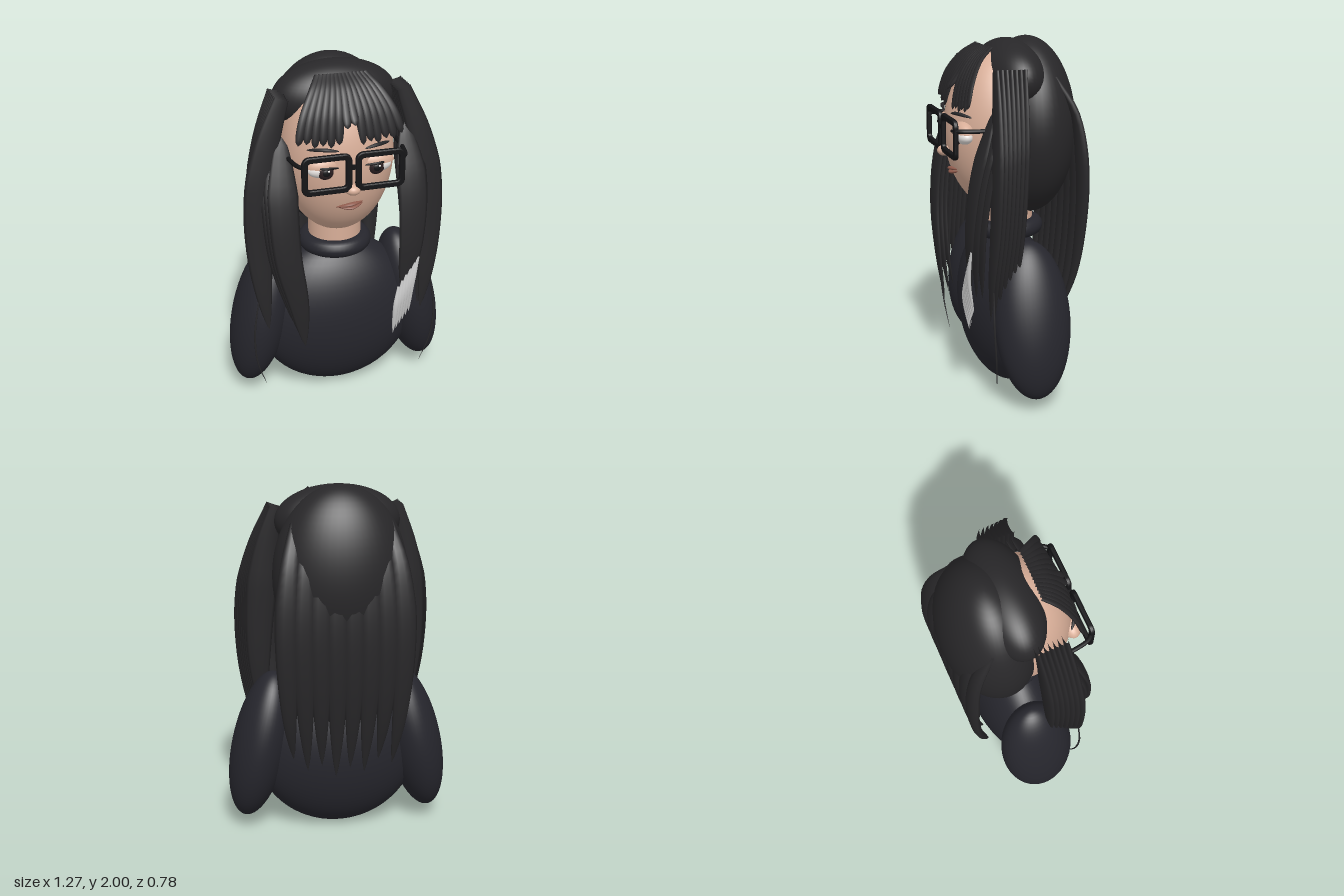
import * as THREE from 'three';

const mat = (color) => new THREE.MeshStandardMaterial({ color });
const HAIR = mat(0x282729), KNIT = mat(0x26262d), SKIN = mat(0xd8ae98), BLACK = mat(0x141416);
const WHITE = mat(0xe6e2df), IRIS = mat(0x2a1e20), LIP = mat(0x8f5a4c), SILVER = mat(0xcfcfd1);
const V = (a) => new THREE.Vector3(...a);

export function createModel() {
  const model = new THREE.Group();

  function add(name, geometry, material, pos = [0, 0, 0], parent = model) {
    const mesh = new THREE.Mesh(geometry, material);
    mesh.name = name;
    mesh.position.set(...pos);
    parent.add(mesh);
    return mesh;
  }
  function ellipsoid(name, pos, radii, material, parent) {
    const mesh = add(name, new THREE.SphereGeometry(1, 48, 32), material, pos, parent);
    mesh.scale.set(...radii);
    return mesh;
  }

  // Tapered lock: an elliptical section swept along a curve
  const taper = (t) => Math.min(1, 0.45 + 1.6 * t) * Math.pow(Math.max(0, 1 - Math.pow(t, 3)), 0.8);
  const pointed = (t) => Math.min(1, Math.sqrt(4 * t)) * Math.pow(Math.max(0, 1 - Math.pow(t, 3.5)), 0.8);
  const leaf = (t) => Math.sqrt(Math.sin(Math.PI * Math.min(1, Math.max(0, t))));
  function strand(name, pts, width, depth, material, parent, profile = taper, side = [1, 0, 0]) {
    const curve = new THREE.CatmullRomCurve3(pts.map(V)), segs = 24, sides = 10;
    const pos = [], idx = [];
    for (let i = 0; i <= segs; i++) {
      const t = i / segs, p = curve.getPointAt(t), T = curve.getTangentAt(t);
      const W = V(side).addScaledVector(T, -T.dot(V(side))).normalize();
      const N = T.clone().cross(W), k = profile(t);
      for (let j = 0; j < sides; j++) {
        const a = (j / sides) * Math.PI * 2;
        const q = p.clone().addScaledVector(W, Math.cos(a) * width * k).addScaledVector(N, Math.sin(a) * depth * k);
        pos.push(q.x, q.y, q.z);
        if (i < segs) {
          const b = i * sides + j, c = i * sides + (j + 1) % sides;
          idx.push(b, c, c + sides, b, c + sides, b + sides);
        }
      }
    }
    const g = new THREE.BufferGeometry();
    g.setAttribute('position', new THREE.Float32BufferAttribute(pos, 3));
    g.setIndex(idx);
    g.computeVertexNormals();
    return add(name, g, material, [0, 0, 0], parent);
  }
  const group = (name) => {
    const g = new THREE.Group();
    g.name = name;
    model.add(g);
    return g;
  };

  // Bust
  ellipsoid('torso', [0, 0.47, 0], [0.48, 0.468, 0.25], KNIT);
  for (const s of [-1, 1]) {
    ellipsoid('upperArm', [s * 0.45, 0.5, -0.01], [0.16, 0.44, 0.215], KNIT).rotation.z = s * 0.22;
  }
  add('collar', new THREE.TorusGeometry(0.16, 0.05, 16, 48), KNIT, [0, 0.93, -0.01]).rotation.x = Math.PI / 2;
  add('neck', new THREE.CylinderGeometry(0.15, 0.15, 0.3, 40), SKIN, [0, 1.03, -0.01]);

  // Head and features
  const face = group('face');
  ellipsoid('head', [0, 1.49, 0.03], [0.315, 0.465, 0.31], SKIN, face);
  ellipsoid('nose', [0, 1.385, 0.35], [0.042, 0.03, 0.04], SKIN, face);
  strand('upperLip', [[-0.078, 1.265, 0.29], [0, 1.282, 0.315], [0.08, 1.288, 0.29]], 0.01, 0.016, LIP, face, leaf, [0, 1, 0]);
  strand('lowerLip', [[-0.065, 1.264, 0.29], [0.005, 1.26, 0.312], [0.075, 1.278, 0.29]], 0.009, 0.016, LIP, face, leaf, [0, 1, 0]);
  for (const s of [-1, 1]) {
    ellipsoid('eyeball', [s * 0.145, 1.49, 0.28], [0.088, 0.045, 0.05], WHITE, face);
    ellipsoid('iris', [s * 0.14, 1.487, 0.315], [0.045, 0.042, 0.02], IRIS, face);
    ellipsoid('pupil', [s * 0.14, 1.487, 0.328], [0.023, 0.022, 0.01], BLACK, face);
    ellipsoid('eyeGlint', [s * 0.14 + 0.012, 1.498, 0.336], [0.006, 0.006, 0.004], WHITE, face);
    const lid = add('eyelid', new THREE.SphereGeometry(1, 32, 12, 0, Math.PI * 2, 0, Math.PI / 2), SKIN, [s * 0.145, 1.511, 0.283], face);
    lid.scale.set(0.102, 0.062, 0.058);
    strand('lashLine', [[s * 0.05, 1.506, 0.32], [s * 0.145, 1.518, 0.342], [s * 0.24, 1.515, 0.29]], 0.007, 0.007, BLACK, face, leaf, [0, 1, 0]);
    strand('eyebrow', [[s * 0.07, 1.604, 0.33], [s * 0.15, 1.614, 0.315], [s * 0.23, 1.602, 0.26]], 0.01, 0.012, HAIR, face, leaf, [0, 1, 0]);
  }

  // Glasses
  const glasses = group('glasses');
  const roundRect = (Type, w, h, r) => {
    const p = new Type(), x = w / 2, y = h / 2, q = Math.PI / 2;
    p.absarc(x - r, y - r, r, 0, q);
    p.absarc(-x + r, y - r, r, q, 2 * q);
    p.absarc(-x + r, -y + r, r, 2 * q, 3 * q);
    p.absarc(x - r, -y + r, r, 3 * q, 4 * q);
    p.closePath();
    return p;
  };
  const rim = roundRect(THREE.Shape, 0.26, 0.206, 0.035);
  rim.holes.push(roundRect(THREE.Path, 0.222, 0.168, 0.022));
  const rimGeometry = new THREE.ExtrudeGeometry(rim, {
    depth: 0.01, bevelThickness: 0.008, bevelSize: 0.007, bevelSegments: 3, curveSegments: 6,
  });
  for (const s of [-1, 1]) {
    add('rim', rimGeometry, BLACK, [s * 0.147, 1.492, 0.357], glasses);
    const arm = new THREE.CatmullRomCurve3([[0.27, 1.545, 0.362], [0.295, 1.545, 0.33], [0.315, 1.545, 0.24], [0.325, 1.545, 0.05]].map(([x, y, z]) => V([s * x, y, z])));
    add('temple', new THREE.TubeGeometry(arm, 20, 0.012, 10), BLACK, [0, 0, 0], glasses);
  }
  add('bridge', new THREE.BoxGeometry(0.05, 0.022, 0.02), BLACK, [0, 1.52, 0.362], glasses);

  // Hair masses
  const hair = group('hair');
  ellipsoid('backHair', [0, 1.5, -0.13], [0.375, 0.5, 0.26], HAIR, hair);
  ellipsoid('crownHair', [0, 1.79, -0.025], [0.35, 0.2, 0.185], HAIR, hair);

  // Fringe, fanning out and parted in the middle
  const blunt = (t) => (0.55 + 0.45 * t) * Math.sqrt(Math.max(0, 1 - Math.pow(t, 9)));
  const fringeCount = 14;
  for (let i = 0; i < fringeCount; i++) {
    const u = (i / (fringeCount - 1)) * 2 - 1, a = Math.abs(u);
    const end = 1.62 + (a < 0.1 ? 0.1 : 0) + (a > 0.6 ? 0.06 * (a - 0.6) : 0) + (i % 2) * 0.014;
    strand('fringeLock', [
      [u * 0.13, 1.955, 0.12], [u * 0.18, 1.895, 0.205 - 0.01 * a],
      [u * 0.24, 1.79, 0.28 - 0.02 * a], [u * 0.285, end, 0.325 - 0.025 * a],
    ], 0.029, 0.014, HAIR, hair, blunt);
  }

  // Layered side tails
  const tailCount = 7;
  for (const s of [-1, 1]) {
    for (let i = 0; i < tailCount; i++) {
      const k = i / (tailCount - 1), out = 0.05 * (k - 1), z = 0.005 + 0.155 * k;
      const path = [
        [0.335, 1.86, z], [0.42 + out * 0.5, 1.62, z + 0.02], [0.48 + out, 1.3, z + 0.04],
        [0.49 + out, 1.0, z + 0.055], [0.475 + out, 0.75, z + 0.07], [0.45 + out, 0.62 - 0.1 * k, z + 0.07],
      ];
      strand('sideTailLock', path.map(([x, y, q]) => [s * x, y, q]), 0.09, 0.026, HAIR, hair);
    }
    strand('strayWisp', [[s * 0.5, 0.75, 0.23], [s * 0.535, 0.5, 0.235], [s * 0.52, 0.3, 0.22], [s * 0.465, 0.13, 0.2]], 0.006, 0.006, HAIR, hair);

    // Front locks; the left one is cut short by its pale tip
    for (let i = 0; i < 3; i++) {
      const z = -0.03 * i, x = 0.012 * i;
      const path = [[0.345, 1.66, 0.17], [0.365, 1.3, 0.28], [0.352, 1.0, 0.315]];
      if (s < 0) path.push([0.295, 0.7, 0.315], [0.255, 0.41 + 0.04 * i, 0.29]);
      else path.push([0.335, 0.82, 0.312], [0.325, 0.62, 0.305]);
      strand('frontLock', path.map(([a, y, q]) => [s * (a + x), y, q + z]), 0.085, 0.02, HAIR, hair, pointed);
    }
  }
  for (let i = 0; i < 6; i++) {
    strand('paleTip', [
      [0.395 - 0.022 * i, 0.91 - 0.035 * i, 0.32], [0.36 - 0.018 * i, 0.74 - 0.025 * i, 0.325],
      [0.355 - 0.018 * i, 0.54 - 0.025 * i, 0.295],
    ], 0.018, 0.012, SILVER, hair);
  }

  // Long back curtain
  const backCount = 8;
  for (let i = 0; i < backCount; i++) {
    const u = (i / (backCount - 1)) * 2 - 1, a = Math.abs(u);
    strand('backLock', [
      [u * 0.25, 1.8, -0.2], [u * 0.295, 1.6, -0.305], [u * 0.32, 1.3, -0.345],
      [u * 0.32, 1.0, -0.342], [u * 0.305, 0.7, -0.31], [u * 0.28, 0.35 + 0.08 * a + 0.05 * (i % 2), -0.25],
    ], 0.07, 0.034, HAIR, hair);
  }
  return model;
}
